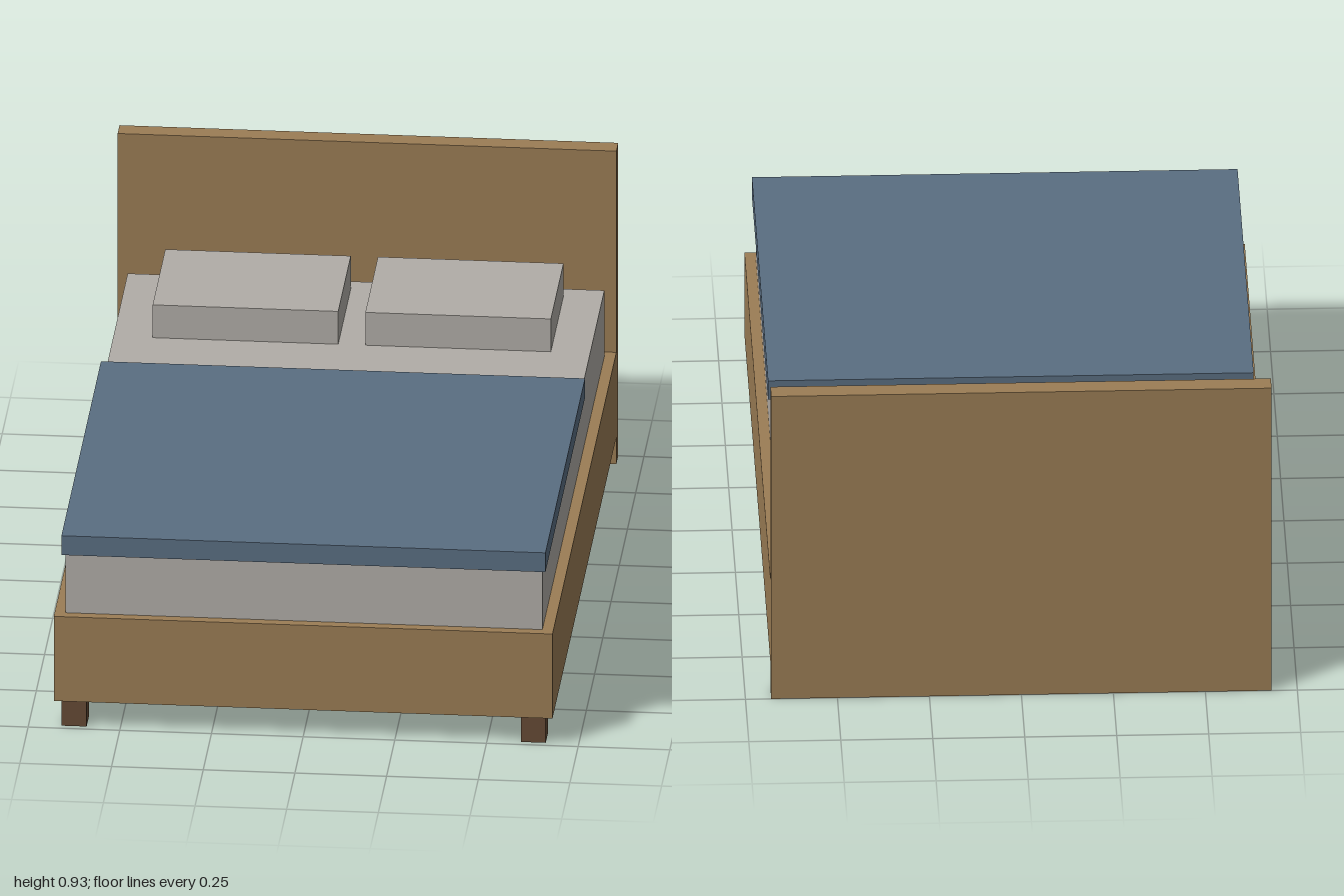
import * as THREE from 'three';

const material = (name, color) => {
  const m = new THREE.MeshStandardMaterial({ color });
  m.name = name;
  return m;
};

export function createModel() {
  const wood = material('oak wood', 0x9b7d55);
  const darkWood = material('dark wood', 0x654a35);
  const linen = material('pale linen', 0xb1ada7);
  const blue = material('blue fabric', 0x5a6e82);

  const bed = new THREE.Group();
  bed.name = 'bed';

  // Box given by its lower and upper bounds on each axis
  const addBox = (name, mat, [x0, x1], [y0, y1], [z0, z1]) => {
    const mesh = new THREE.Mesh(new THREE.BoxGeometry(x1 - x0, y1 - y0, z1 - z0), mat);
    mesh.position.set((x0 + x1) / 2, (y0 + y1) / 2, (z0 + z1) / 2);
    mesh.name = name;
    bed.add(mesh);
  };

  // Wooden base and headboard
  addBox('frame', wood, [-0.68, 0.68], [0.08, 0.33], [-0.943, 1]);
  addBox('headboard', wood, [-0.68, 0.68], [0, 0.925], [-1, -0.943]);

  // Bedding
  addBox('mattress', linen, [-0.65, 0.65], [0.33, 0.525], [-0.913, 0.972]);
  addBox('blanket', blue, [-0.66, 0.66], [0.508, 0.565], [-0.213, 0.99]);

  // Mirrored pillows and legs
  for (const [side, s] of [['left', 1], ['right', -1]]) {
    const span = (a, b) => (s > 0 ? [a, b] : [-b, -a]);
    addBox(`${side}Pillow`, linen, span(0.037, 0.543), [0.525, 0.622], [-0.863, -0.48]);
    addBox(`${side}FrontLeg`, darkWood, span(0.592, 0.66), [0, 0.08], [0.914, 0.982]);
    addBox(`${side}BackLeg`, darkWood, span(0.592, 0.66), [0, 0.08], [-0.922, -0.854]);
  }
  return bed;
}
